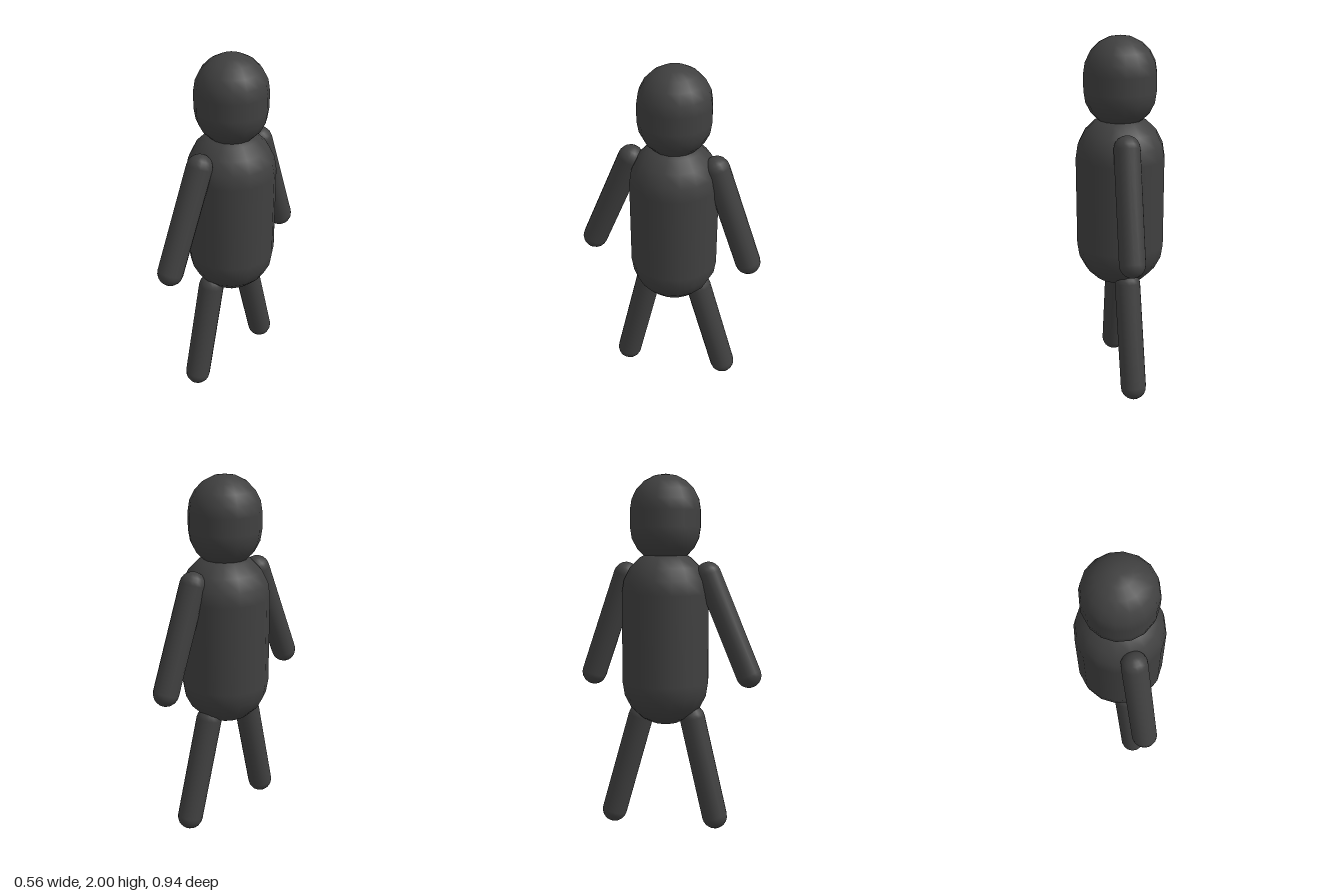
import * as THREE from 'three';

const material = new THREE.MeshStandardMaterial({ color: 0x404040 });
const UP = new THREE.Vector3(0, 1, 0);
const TWIST = THREE.MathUtils.degToRad(-5); // slight turn of the body about its axis

// Capsule whose two cap centres sit at the points a (lower) and b (upper)
function capsule(name, radius, a, b) {
  const from = new THREE.Vector3(...a);
  const to = new THREE.Vector3(...b);
  const axis = to.clone().sub(from);
  const geometry = new THREE.CapsuleGeometry(radius, axis.length(), 5, 16);
  geometry.rotateY(TWIST);
  const mesh = new THREE.Mesh(geometry, material);
  mesh.name = name;
  mesh.quaternion.setFromUnitVectors(UP, axis.normalize());
  mesh.position.copy(from).add(to).multiplyScalar(0.5);
  return mesh;
}

export function createModel() {
  const figure = new THREE.Group();
  figure.name = 'walkingFigure';

  // Body
  figure.add(
    capsule('head', 0.198, [0.01, 1.71, -0.02], [0.01, 1.802, -0.02]),
    capsule('torso', 0.246, [0.01, 0.846, -0.02], [0.01, 1.345, -0.02])
  );

  // Limbs in mid-stride: right side swings forward, left side back
  figure.add(
    capsule('rightArm', 0.071, [-0.21, 0.9, 0.402], [-0.1, 1.452, 0.198]),
    capsule('leftArm', 0.071, [0.207, 0.882, -0.4], [0.115, 1.448, -0.225]),
    capsule('rightLeg', 0.072, [-0.125, 0.073, 0.237], [-0.07, 0.642, 0.117]),
    capsule('leftLeg', 0.072, [0.122, 0.073, -0.302], [0.058, 0.642, -0.155])
  );
  return figure;
}
